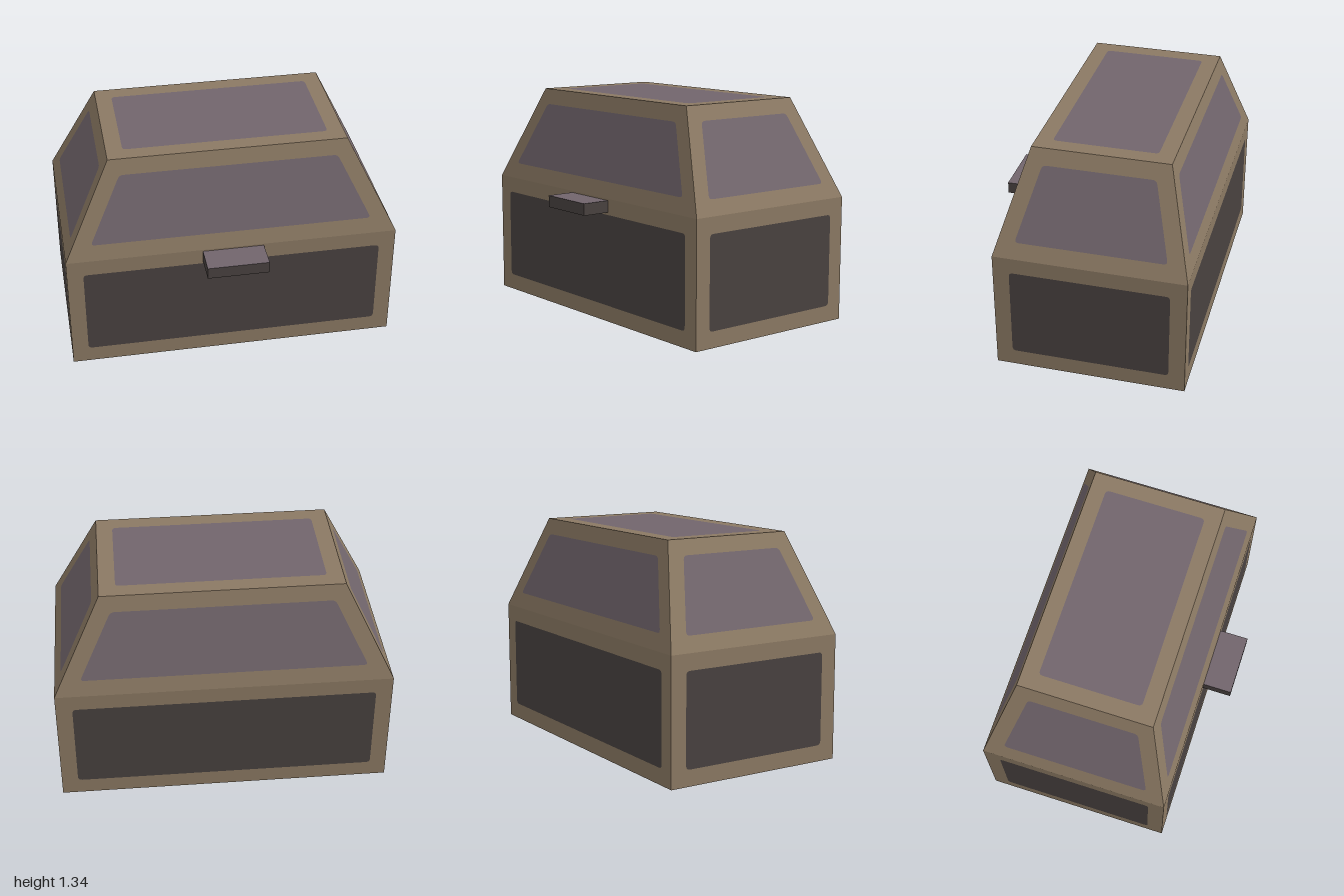
import * as THREE from 'three';

const mat = (name, color) => {
  const m = new THREE.MeshStandardMaterial({ color });
  m.name = name;
  return m;
};

const INSET = 0.098, ROUND = 0.025;

// Move every edge of a counter-clockwise polygon inward by distance d
function insetPolygon(pts, d) {
  const n = pts.length;
  const edges = pts.map((p, i) => {
    const dir = pts[(i + 1) % n].clone().sub(p).normalize();
    return { dir, p: new THREE.Vector2(-dir.y, dir.x).multiplyScalar(d).add(p) };
  });
  return edges.map((e, i) => {
    const f = edges[(i + n - 1) % n];
    const t = e.p.clone().sub(f.p).cross(e.dir) / f.dir.cross(e.dir);
    return f.p.clone().addScaledVector(f.dir, t);
  });
}

// Trace a polygon with small rounded corners
function roundedPath(path, pts, r) {
  const n = pts.length;
  pts.forEach((p, i) => {
    const toward = (q) => q.clone().sub(p).setLength(r).add(p);
    const a = toward(pts[(i + n - 1) % n]), b = toward(pts[(i + 1) % n]);
    if (i === 0) path.moveTo(a.x, a.y); else path.lineTo(a.x, a.y);
    path.quadraticCurveTo(p.x, p.y, b.x, b.y);
  });
  path.closePath();
  return path;
}

// One wall: a frame with a flush panel, corners counter-clockwise from outside
function wall(name, corners, frameMat, panelMat) {
  const [a, b, c] = corners;
  const u = b.clone().sub(a).normalize();
  const n = u.clone().cross(c.clone().sub(a)).normalize();
  const v = n.clone().cross(u);
  const place = new THREE.Matrix4().makeBasis(u, v, n).setPosition(a);
  const flat = corners.map((p) => {
    const d = p.clone().sub(a);
    return new THREE.Vector2(d.dot(u), d.dot(v));
  });
  const inner = insetPolygon(flat, INSET);
  const frame = new THREE.Shape(flat);
  frame.holes.push(roundedPath(new THREE.Path(), inner, ROUND));
  const panel = roundedPath(new THREE.Shape(), inner, ROUND);

  const group = new THREE.Group();
  group.name = name;
  for (const [part, shape, m] of [['Frame', frame, frameMat], ['Panel', panel, panelMat]]) {
    const mesh = new THREE.Mesh(new THREE.ShapeGeometry(shape, 4).applyMatrix4(place), m);
    mesh.name = name + part;
    group.add(mesh);
  }
  return group;
}

export function createModel() {
  const wood = mat('tan frame', 0x8b7963);
  const lidPanel = mat('mauve panel', 0x71656c);
  const bodyPanel = mat('dark panel', 0x494240);

  // Corner rings, counter-clockwise seen from above, starting front left-hand
  const ring = (x, y, front, back) => [[-x, front], [x, front], [x, back], [-x, back]]
    .map(([px, pz]) => new THREE.Vector3(px, y, pz));
  const base = ring(1, 0, 0.485, -0.66);
  const rim = ring(1, 0.755, 0.485, -0.66);
  const crown = ring(0.71, 1.342, 0.32, -0.495);

  const model = new THREE.Group();
  model.name = 'chest';
  const body = new THREE.Group();
  body.name = 'body';
  const lid = new THREE.Group();
  lid.name = 'lid';
  model.add(body, lid);

  // Four walls of the body and four slopes of the lid
  ['Front', 'Left', 'Back', 'Right'].forEach((side, i) => {
    const j = (i + 1) % 4;
    body.add(wall('body' + side, [base[i], base[j], rim[j], rim[i]], wood, bodyPanel));
    lid.add(wall('lid' + side, [rim[i], rim[j], crown[j], crown[i]], wood, lidPanel));
  });
  lid.add(wall('lidTop', crown, wood, lidPanel));
  body.add(wall('bodyBottom', [...base].reverse(), wood, bodyPanel));

  // Latch sticking out under the lid, with a lighter top
  const d = bodyPanel;
  const latch = new THREE.Mesh(new THREE.BoxGeometry(0.37, 0.072, 0.175), [d, d, lidPanel, d, d, d]);
  latch.name = 'latch';
  latch.position.set(0, 0.709, 0.5725);
  model.add(latch);

  return model;
}
